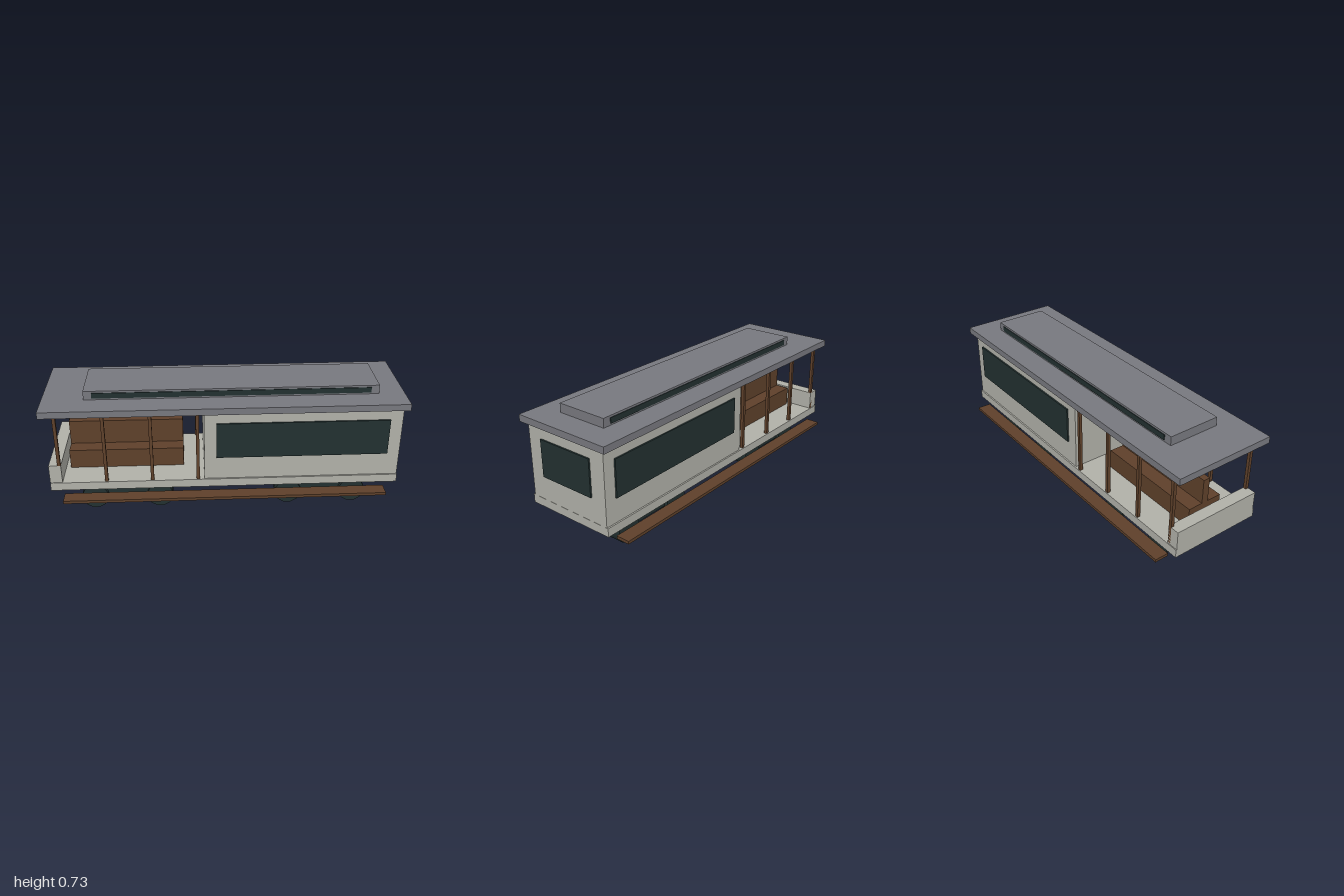
import * as THREE from 'three';

const material = (name, color) => {
  const m = new THREE.MeshStandardMaterial({ color });
  m.name = name;
  return m;
};

export function createModel() {
  const cream = material('palePaint', 0xb0b0a8);
  const grey = material('roofGrey', 0x77787e);
  const wood = material('brownWood', 0x5e402a);
  const dark = material('darkGlassAndIron', 0x223030);

  const tram = new THREE.Group();
  tram.name = 'tramCar';

  // Box given by its extents along each axis
  const box = (name, mat, [x0, x1], [y0, y1], [z0, z1]) => {
    const mesh = new THREE.Mesh(new THREE.BoxGeometry(x1 - x0, y1 - y0, z1 - z0), mat);
    mesh.position.set((x0 + x1) / 2, (y0 + y1) / 2, (z0 + z1) / 2);
    mesh.name = name;
    tram.add(mesh);
  };
  const both = (z) => [-z, z];
  const sideRange = (s, a, b) => (s > 0 ? [a, b] : [-b, -a]);

  // Body
  box('floor', cream, [-0.98, 0.975], [0.177, 0.225], both(0.27));
  box('cabin', cream, [-0.118, 0.974], [0.225, 0.642], both(0.261));
  box('endPanel', cream, [-0.98, -0.912], [0.225, 0.333], both(0.265));
  box('endWindow', dark, [0.974, 0.983], [0.362, 0.572], both(0.17));

  // Roof with raised centre
  box('roof', grey, [-1, 1], [0.641, 0.679], both(0.295));
  box('raisedRoof', grey, [-0.77, 0.855], [0.679, 0.73], both(0.152));

  // Back-to-back bench
  box('benchSeat', wood, [-0.885, -0.235], [0.225, 0.337], both(0.105));
  box('benchBack', wood, [-0.885, -0.235], [0.337, 0.48], both(0.02));

  // Parts mirrored on both sides
  for (const s of [1, -1]) {
    box('sideWindow', dark, [-0.05, 0.905], [0.362, 0.573], sideRange(s, 0.261, 0.27));
    box('roofWindow', dark, [-0.725, 0.81], [0.688, 0.719], sideRange(s, 0.152, 0.156));
    box('runningBoard', wood, [-0.908, 0.905], [0.128, 0.145], sideRange(s, 0.255, 0.335));
    for (let i = 0; i < 4; i++) {
      const x = -0.922 + i * 0.256;
      box('post', wood, [x - 0.009, x + 0.009], [0.225, 0.641], sideRange(s, 0.247, 0.265));
    }
  }

  // Bogies: a frame with two wide rollers each
  const roller = new THREE.CylinderGeometry(0.076, 0.076, 0.368, 12);
  roller.rotateX(Math.PI / 2).rotateZ(Math.PI / 12);
  for (const cx of [-0.562, 0.555]) {
    box('bogieFrame', dark, [cx - 0.187, cx + 0.187], [0.065, 0.13], both(0.163));
    for (const dx of [-0.187, 0.187]) {
      const wheel = new THREE.Mesh(roller, dark);
      wheel.position.set(cx + dx, 0.0735, 0);
      wheel.name = 'wheel';
      tram.add(wheel);
    }
  }
  return tram;
}
